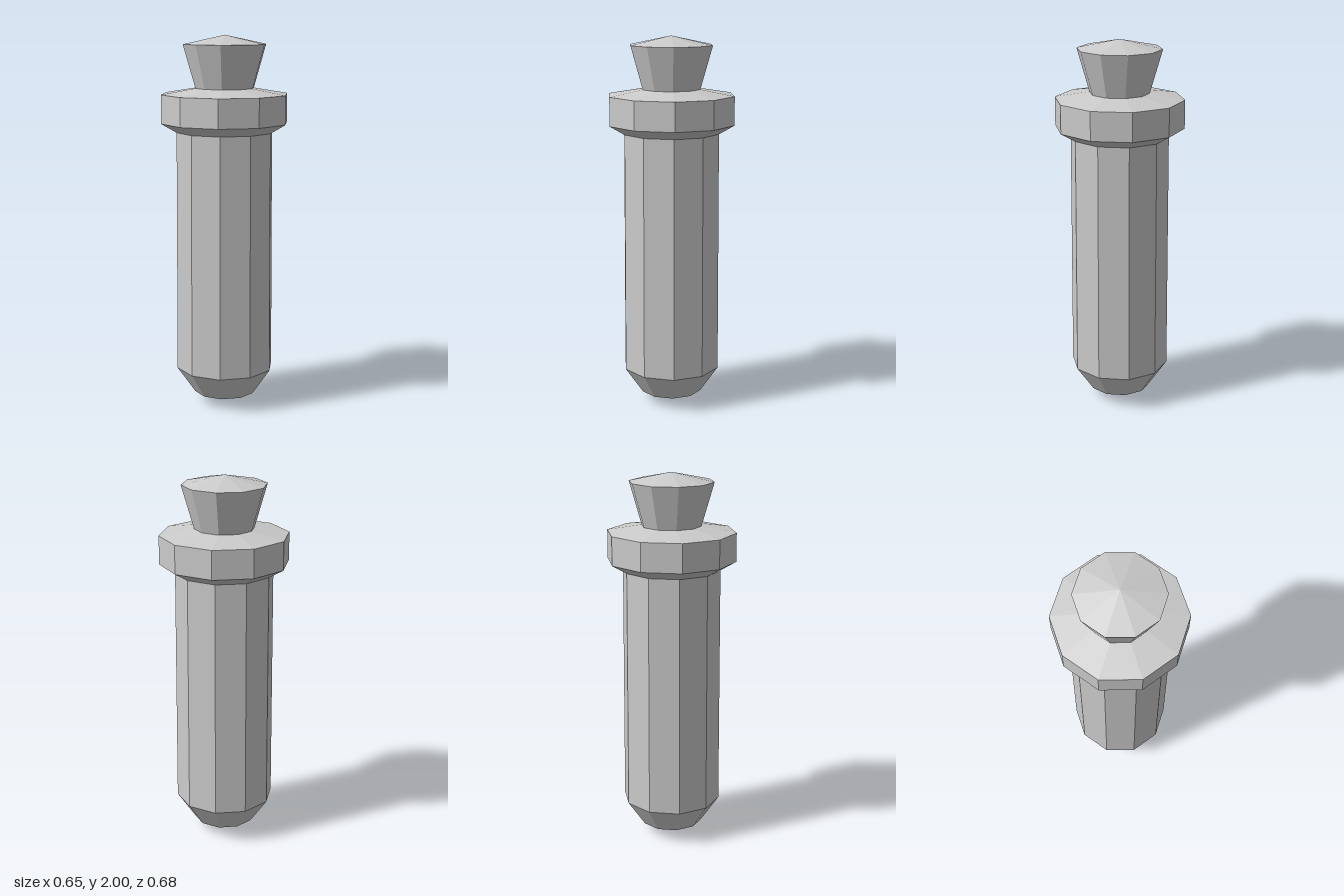
import * as THREE from 'three';

const SIDES = 10;

// Ten-sided faceted solid of revolution; profile is [radius, height], bottom to top
function turned(name, profile, material) {
  const points = profile.map(([r, y]) => new THREE.Vector2(r, y));
  const mesh = new THREE.Mesh(new THREE.LatheGeometry(points, SIDES), material);
  mesh.name = name;
  return mesh;
}

export function createModel() {
  const group = new THREE.Group();
  group.name = 'peg';
  const material = new THREE.MeshStandardMaterial({ color: 0xcccccc, flatShading: true });

  // Blunt pointed end
  group.add(turned('tip', [[0, 0], [0.167, 0.055], [0.265, 0.198]], material));

  // Long, slightly tapered shaft
  group.add(turned('shaft', [[0.265, 0.198], [0.26, 1.492]], material));

  // Collar with bevelled underside and sloping top
  group.add(turned('collar', [[0.26, 1.492], [0.342, 1.54], [0.342, 1.692], [0.158, 1.723]], material));

  // Flared knob with a shallow conical cap
  group.add(turned('knob', [[0.158, 1.723], [0.224, 1.952], [0, 2]], material));

  return group;
}
